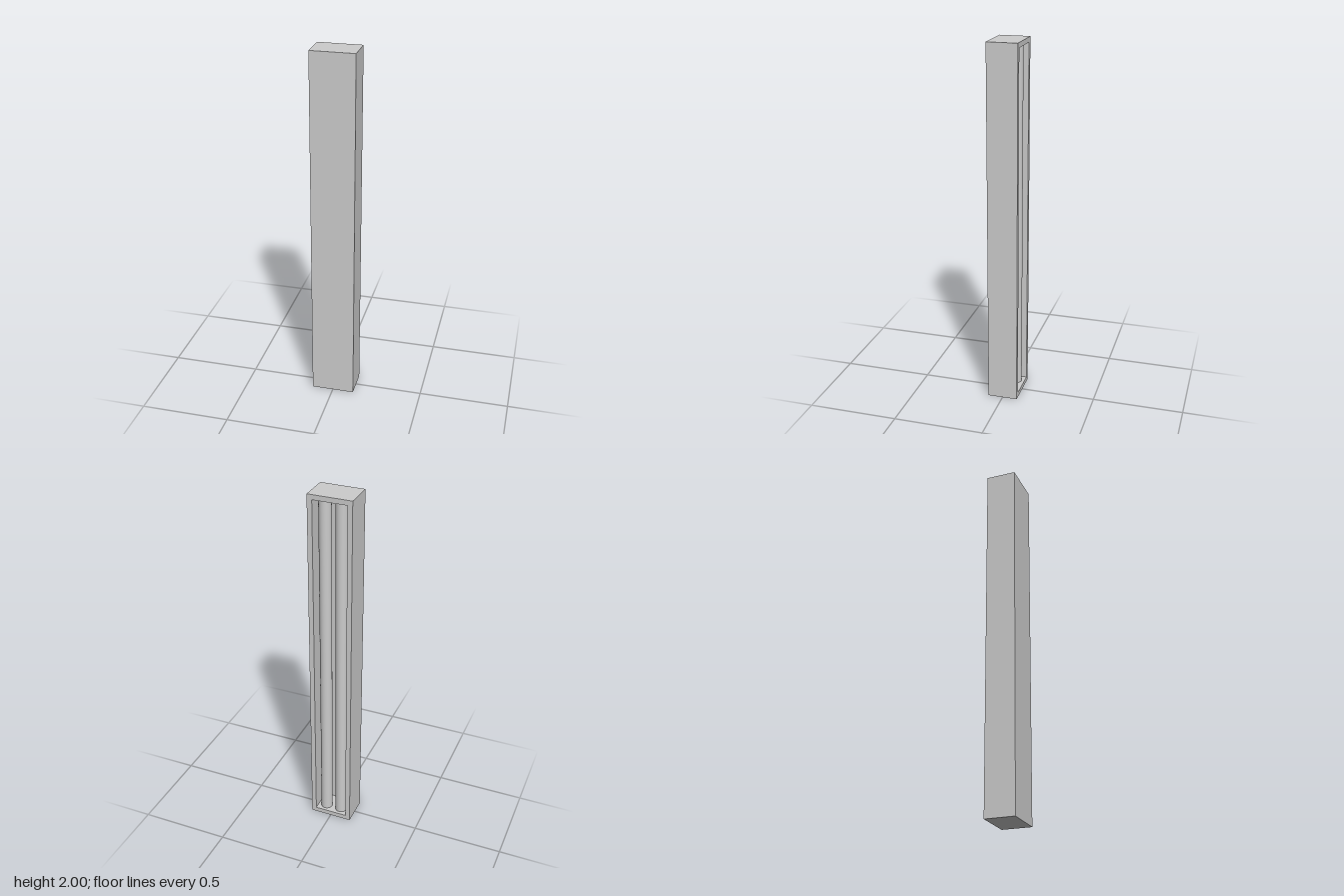
import * as THREE from 'three';

const W = 0.24, H = 2, D = 0.166; // outer size
const T = 0.027;                  // wall thickness

export function createModel() {
  const model = new THREE.Group();
  const material = new THREE.MeshStandardMaterial({ color: 0xcccccc });
  const add = (name, geometry, x, y, z) => {
    const mesh = new THREE.Mesh(geometry, material);
    mesh.name = name;
    mesh.position.set(x, y, z);
    model.add(mesh);
  };

  // Rectangular rim around the opening at the back
  const rect = (target, w, h) => {
    target.moveTo(-w / 2, -h / 2);
    target.lineTo(w / 2, -h / 2);
    target.lineTo(w / 2, h / 2);
    target.lineTo(-w / 2, h / 2);
    target.closePath();
    return target;
  };
  const rim = rect(new THREE.Shape(), W, H);
  rim.holes.push(rect(new THREE.Path(), W - 2 * T, H - 2 * T));
  add('housingWalls', new THREE.ExtrudeGeometry(rim, { depth: D - T, bevelEnabled: false }), 0, H / 2, -D / 2);

  // Closed front panel
  add('frontPanel', new THREE.BoxGeometry(W, H, T), 0, H / 2, D / 2 - T / 2);

  // Pair of long tubes standing inside the housing
  for (const [name, side] of [['leftTube', 1], ['rightTube', -1]]) {
    add(name, new THREE.CylinderGeometry(0.033, 0.033, H - 2 * T, 32), side * 0.045, H / 2, -0.033);
  }
  return model;
}
